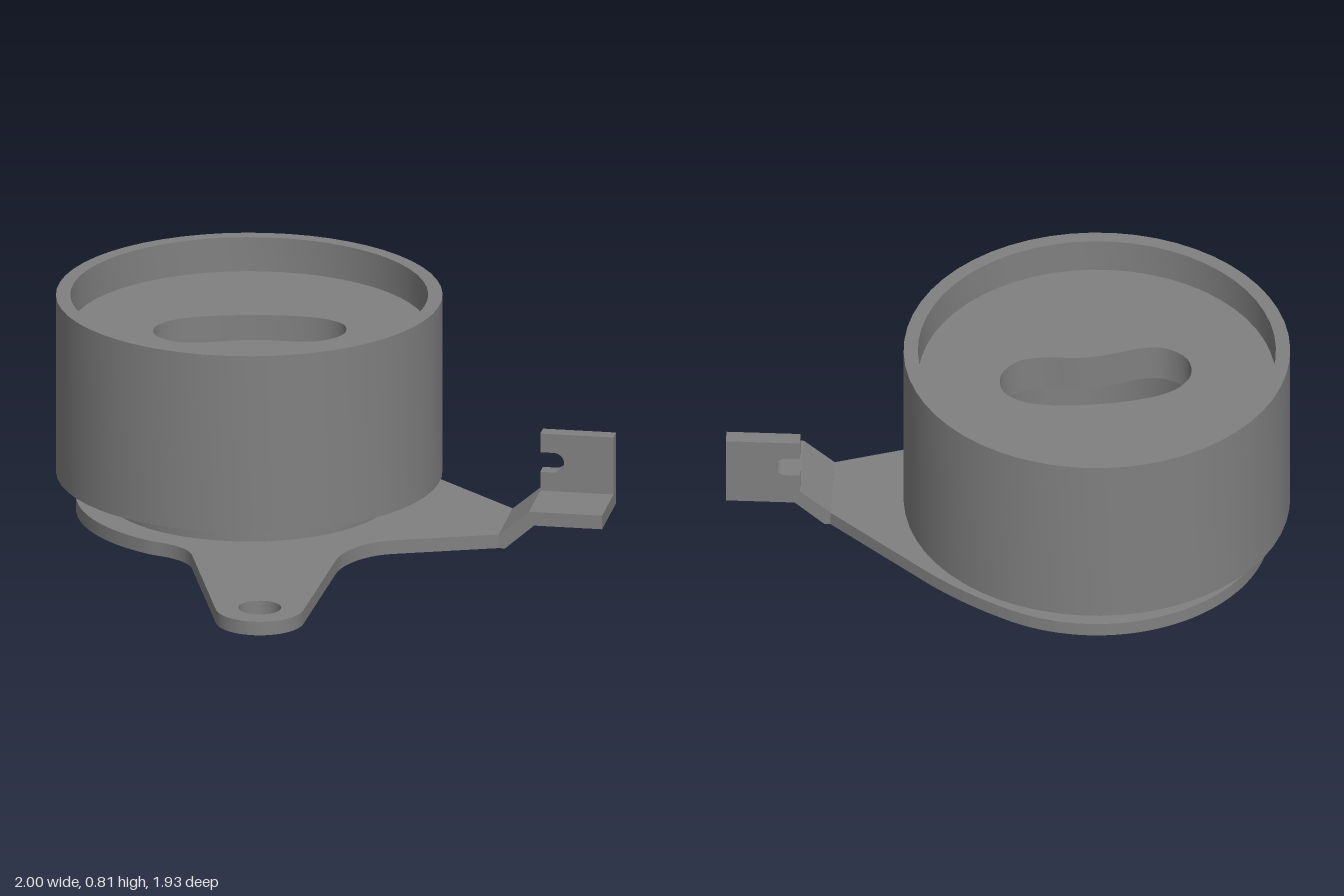
import * as THREE from 'three';
import { toCreasedNormals } from 'three/addons/utils/BufferGeometryUtils.js';

const CX = -0.325, CZ = -0.295; // pulley axis
const rad = THREE.MathUtils.degToRad;

export function createModel() {
  const model = new THREE.Group();
  model.name = 'tensionerPulley';
  const steel = new THREE.MeshStandardMaterial({ color: 0x808080 });
  steel.name = 'grey steel';

  const add = (name, geometry, parent = model) => {
    const mesh = new THREE.Mesh(toCreasedNormals(geometry, rad(30)), steel);
    mesh.name = name;
    parent.add(mesh);
    return mesh;
  };
  const extrude = (shape, depth) =>
    new THREE.ExtrudeGeometry(shape, { depth, bevelEnabled: false, curveSegments: 28 });
  // Plan shapes are drawn in (x, z) and extruded down from the given top height
  const slab = (shape, top, depth) =>
    extrude(shape, depth).rotateX(Math.PI / 2).translate(0, top, 0);
  const circle = (x, y, r) => new THREE.Path().absarc(x, y, r, 0, Math.PI * 2, false);

  // Pulley drum with neck, chamfered boss and bore
  const profile = [
    [0.355, 0.56], [0.355, 0], [0.44, 0], [0.505, 0.02], [0.505, 0.16],
    [0.675, 0.16], [0.675, 0.81], [0.625, 0.81], [0.625, 0.68],
  ].map(([r, y]) => new THREE.Vector2(r, y));
  add('pulleyDrum', new THREE.LatheGeometry(profile, 56).translate(CX, 0, CZ));

  // Recessed floor with the curved slot
  const floor = new THREE.Shape().absarc(CX, CZ, 0.626, 0, Math.PI * 2, false);
  const slotPoints = [
    [-0.63, -0.17], [-0.615, -0.25], [-0.56, -0.32], [-0.42, -0.41], [-0.26, -0.477],
    [-0.13, -0.5], [-0.04, -0.468], [0, -0.38], [-0.03, -0.29], [-0.1, -0.24],
    [-0.23, -0.2], [-0.32, -0.152], [-0.42, -0.08], [-0.5, -0.056], [-0.59, -0.09],
  ].map(([x, z]) => new THREE.Vector3(x, z, 0));
  const slotCurve = new THREE.CatmullRomCurve3(slotPoints, true);
  floor.holes.push(new THREE.Path(
    slotCurve.getPoints(60).slice(0, -1).map((p) => new THREE.Vector2(p.x, p.y))));
  add('recessedFloor', slab(floor, 0.685, 0.135));

  // Base plate with two arms
  const plate = new THREE.Shape();
  plate.absarc(CX, CZ, 0.605, rad(99), rad(285), false);
  plate.quadraticCurveTo(-0.02, -0.845, 0.13, -0.775);
  plate.lineTo(0.57, -0.55);
  plate.lineTo(0.645, -0.27);
  plate.lineTo(0.34, -0.06);
  plate.bezierCurveTo(0.25, 0, 0.225, 0.12, 0.245, 0.22);
  plate.lineTo(0.371, 0.768);
  plate.absarc(0.22, 0.803, 0.155, rad(-13), rad(147), false);
  plate.lineTo(-0.235, 0.38);
  plate.quadraticCurveTo(-0.29, 0.3, -0.42, 0.302);
  plate.holes.push(circle(CX, CZ, 0.45), circle(0.22, 0.803, 0.075));
  add('basePlate', slab(plate, 0.07, 0.05));

  // Bent bracket at the end of the side arm
  const bracket = new THREE.Group();
  bracket.name = 'bracket';
  bracket.position.set(0.57, 0, -0.55);
  bracket.rotation.y = rad(15);
  model.add(bracket);

  const step = new THREE.Shape([
    [0, 0.07], [0, 0.02], [0.022, 0.02], [0.125, 0.11],
    [0.366, 0.11], [0.366, 0.16], [0.107, 0.16],
  ].map(([x, y]) => new THREE.Vector2(x, y)));
  add('bracketStep', extrude(step, 0.29), bracket);

  // Upright tab with a round-ended notch
  const tab = new THREE.Shape();
  tab.moveTo(0.107, 0.16);
  tab.lineTo(0.366, 0.16);
  tab.lineTo(0.366, 0.37);
  tab.lineTo(0.107, 0.37);
  tab.lineTo(0.107, 0.301);
  tab.absarc(0.155, 0.265, 0.036, Math.PI / 2, -Math.PI / 2, true);
  tab.lineTo(0.107, 0.229);
  add('bracketTab', extrude(tab, 0.055), bracket);

  return model;
}
